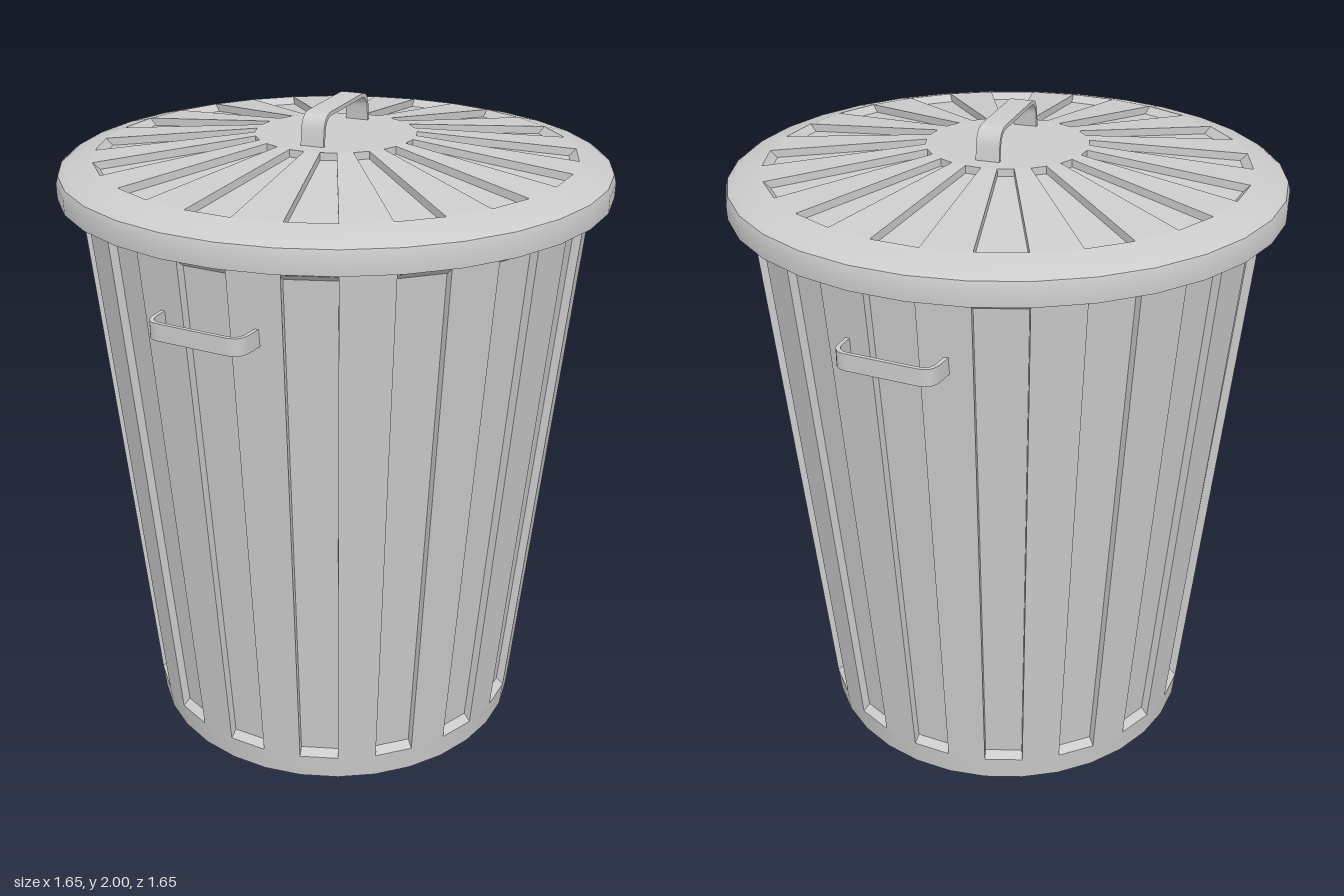
import * as THREE from 'three';
import { toCreasedNormals } from 'three/addons/utils/BufferGeometryUtils.js';

const SIDES = 32;
const STEP = (Math.PI * 2) / SIDES;
const material = new THREE.MeshStandardMaterial({ color: 0xcccccc, side: THREE.DoubleSide });

function addMesh(parent, name, geometry) {
  const mesh = new THREE.Mesh(geometry, material);
  mesh.name = name;
  parent.add(mesh);
  return mesh;
}

// Smooth ring or disc turned from [radius, height] pairs, listed from below to above
function turned(profile) {
  const points = profile.map(([r, y]) => new THREE.Vector2(r, y));
  return toCreasedNormals(new THREE.LatheGeometry(points, SIDES), 0.6);
}

// Faceted band whose every second facet is sunk.
// profile: [lower edge, floor start, floor end, upper edge] as [radius, height]
function groovedBand(profile) {
  const positions = [];
  const at = ([r, y], k) => [r * Math.sin(k * STEP), y, r * Math.cos(k * STEP)];
  const quad = (a, b, c, d) => positions.push(...a, ...b, ...c, ...a, ...c, ...d);
  const strip = (lo, hi, k) => quad(at(lo, k), at(lo, k + 1), at(hi, k + 1), at(hi, k));
  for (let k = 0; k < SIDES; k++) {
    if (k % 2 === 0) {
      strip(profile[0], profile[3], k);
      continue;
    }
    // sloped ends and floor of the groove
    for (let i = 0; i < 3; i++) strip(profile[i], profile[i + 1], k);
    // side walls of the groove
    quad(...profile.map((p) => at(p, k)));
    quad(...profile.map((p) => at(p, k + 1)).reverse());
  }
  const geometry = new THREE.BufferGeometry();
  geometry.setAttribute('position', new THREE.Float32BufferAttribute(positions, 3));
  geometry.computeVertexNormals();
  return geometry;
}

// Flat strap bent into a rounded arch: feet at y = 0, top at y = height
function strap(half, height, lean, corner, width) {
  const t = 0.012;
  const shape = new THREE.Shape();
  shape.moveTo(half, 0);
  shape.lineTo(half - lean * 0.5, height - corner);
  shape.quadraticCurveTo(half - lean, height, half - lean - corner, height);
  shape.lineTo(-(half - lean - corner), height);
  shape.quadraticCurveTo(-(half - lean), height, -(half - lean * 0.5), height - corner);
  shape.lineTo(-half, 0);
  shape.lineTo(-half + t, 0);
  shape.lineTo(-(half - lean * 0.5 - t), height - corner);
  shape.quadraticCurveTo(-(half - lean - t), height - t, -(half - lean - corner), height - t);
  shape.lineTo(half - lean - corner, height - t);
  shape.quadraticCurveTo(half - lean - t, height - t, half - lean * 0.5 - t, height - corner);
  shape.lineTo(half - t, 0);
  const geometry = new THREE.ExtrudeGeometry(shape, { depth: width, bevelEnabled: false, curveSegments: 6 });
  geometry.translate(0, 0, -width / 2);
  return toCreasedNormals(geometry, 0.6);
}

export function createModel() {
  const model = new THREE.Group();
  model.name = 'trashCan';

  // Tapered can
  const can = new THREE.Group();
  can.name = 'can';
  model.add(can);
  addMesh(can, 'base', turned([[0, 0], [0.6, 0], [0.608, 0.08]]));
  addMesh(can, 'canWall', groovedBand([[0.608, 0.08], [0.585, 0.1], [0.73, 1.71], [0.757, 1.73]]));
  addMesh(can, 'canRim', turned([[0.757, 1.73], [0.764, 1.81]]));

  // Carrying handles, centred on a sunk facet at the front and the back
  for (const [name, turn] of [['frontHandle', 0], ['backHandle', Math.PI]]) {
    const pivot = new THREE.Group();
    pivot.name = name;
    pivot.rotation.y = turn - STEP / 2;
    const grip = addMesh(pivot, 'grip', strap(0.152, 0.115, 0.005, 0.045, 0.05));
    grip.rotation.x = Math.PI / 2;
    grip.position.set(0, 1.545, 0.697);
    can.add(pivot);
  }

  // Lid with a rolled edge, radial grooves and a flat middle
  const lid = new THREE.Group();
  lid.name = 'lid';
  model.add(lid);
  addMesh(lid, 'lidRim', turned([
    [0.74, 1.81], [0.79, 1.81], [0.795, 1.755], [0.823, 1.755],
    [0.824, 1.8], [0.817, 1.823], [0.8, 1.835], [0.715, 1.857],
  ]));
  addMesh(lid, 'lidPanels', groovedBand([[0.715, 1.857], [0.695, 1.836], [0.24, 1.888], [0.24, 1.91]]));
  addMesh(lid, 'lidCentre', turned([[0.24, 1.91], [0, 1.911]]));

  // Lid handle running front to back
  const lidHandle = addMesh(lid, 'lidHandle', strap(0.184, 0.1, 0.012, 0.05, 0.07));
  lidHandle.rotation.y = Math.PI / 2;
  lidHandle.position.y = 1.9;

  return model;
}
